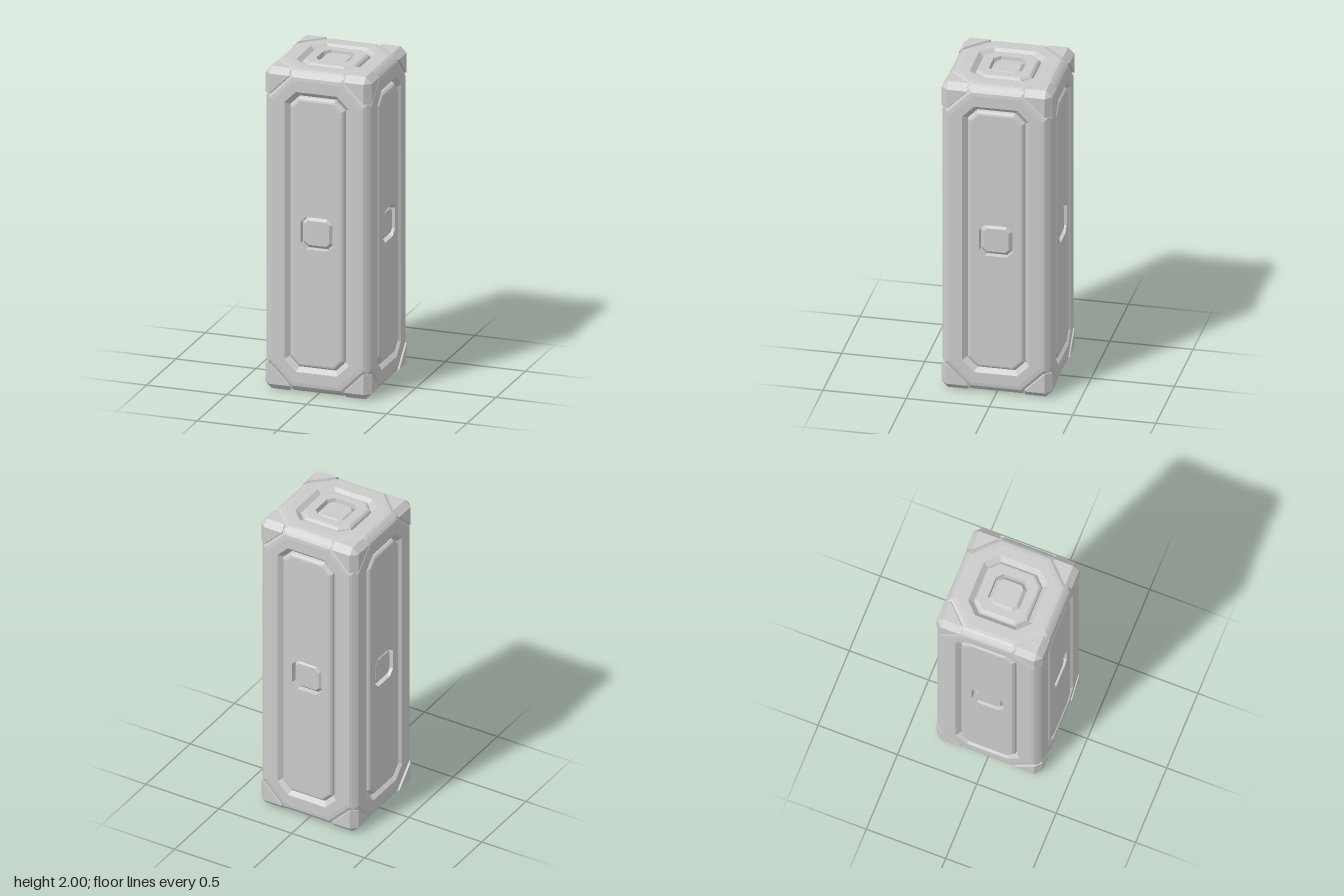
import * as THREE from 'three';
import { ConvexGeometry } from 'three/addons/geometries/ConvexGeometry.js';

const HALF = 0.333; // half width and depth
const TALL = 1; // half height
const material = new THREE.MeshStandardMaterial({ color: 0xcccccc, flatShading: true });

// Octagon: rectangle of half size a x b at depth w with its corners cut by c
function octagon(a, b, c, w) {
  return [
    [a, -b + c], [a, b - c], [a - c, b], [-a + c, b],
    [-a, b - c], [-a, -b + c], [-a + c, -b], [a - c, -b],
  ].map(([u, v]) => [u, v, w]);
}

// Skin consecutive octagons from the outside in
function loft(rings, closed) {
  const pos = [];
  for (let r = 0; r < rings.length - 1; r++) {
    for (let i = 0; i < 8; i++) {
      const j = (i + 1) % 8;
      const [p, q] = [rings[r], rings[r + 1]];
      pos.push(...p[i], ...p[j], ...q[j], ...p[i], ...q[j], ...q[i]);
    }
  }
  const last = rings[rings.length - 1];
  if (closed) for (let i = 1; i < 7; i++) pos.push(...last[0], ...last[i], ...last[i + 1]);
  const geo = new THREE.BufferGeometry();
  geo.setAttribute('position', new THREE.Float32BufferAttribute(pos, 3));
  geo.computeVertexNormals();
  return geo;
}

// One side of the pillar, facing +z: bevelled frame, groove, panel and inset stud
function makeFace(name, b, d) {
  const face = new THREE.Group();
  face.name = name;
  const ring = ([inset, drop, cut]) => octagon(HALF - inset, b - inset, cut, d - drop);
  const add = (part, rings, closed) => {
    const mesh = new THREE.Mesh(loft(rings, closed), material);
    mesh.name = part;
    face.add(mesh);
  };
  const socket = octagon(0.1, 0.1, 0.035, d - 0.002);
  // rows: inset from the edge, drop below the surface, corner cut
  const frame = [
    [0.0215, 0.0215, 0.1435], // middle of the edge bevel
    [0.029, 0.014, 0.146],
    [0.043, 0.004, 0.142],
    [0.063, 0.001, 0.138], // flat of the frame
    [0.132, 0.001, 0.072], // rim of the recess
  ].map(ring);
  const panel = [
    [0.16, 0.03, 0.059], // bottom of the groove
    [0.164, 0.016, 0.057],
    [0.175, 0.005, 0.052],
    [0.185, 0.002, 0.047], // raised panel, level with the frame
  ].map(ring);
  add('frame', [...frame, panel[0]], false);
  add('panel', [...panel, socket], false);
  add('stud', [
    socket,
    octagon(0.096, 0.096, 0.034, d - 0.033), // narrow gap round the stud
    octagon(0.094, 0.094, 0.033, d - 0.032),
    octagon(0.075, 0.075, 0.02, d - 0.012),
  ], true);
  return face;
}

// Corner guard: bevelled cube corner with a triangular flat on each side
function makeGuard(sx, sy, sz) {
  const [lo, mid, hi] = [0.172, 0.295, HALF];
  const pts = [[0.2, 0.2, 0.2]];
  for (let k = 0; k < 3; k++) {
    for (const [p, q] of [[mid, mid], [lo, mid], [mid, lo]]) {
      const v = [];
      v[k] = hi;
      v[(k + 1) % 3] = p;
      v[(k + 2) % 3] = q;
      pts.push(v);
    }
  }
  const mesh = new THREE.Mesh(new ConvexGeometry(pts.map(([x, y, z]) =>
    new THREE.Vector3(sx * x, sy * (y + TALL - HALF), sz * z))), material);
  mesh.name = 'cornerGuard';
  return mesh;
}

export function createModel() {
  const model = new THREE.Group();
  model.name = 'pillar';
  const body = new THREE.Group();
  body.name = 'body';
  body.position.y = TALL;
  model.add(body);

  // four tall sides
  ['frontSide', 'leftSide', 'backSide', 'rightSide'].forEach((name, i) => {
    const side = makeFace(name, TALL, HALF);
    side.rotation.y = (i * Math.PI) / 2;
    body.add(side);
  });

  // square ends
  for (const s of [1, -1]) {
    const end = makeFace(s > 0 ? 'topEnd' : 'bottomEnd', HALF, TALL);
    end.rotation.x = (-s * Math.PI) / 2;
    body.add(end);
  }

  // eight corner guards
  for (const x of [1, -1])
    for (const y of [1, -1])
      for (const z of [1, -1]) body.add(makeGuard(x, y, z));

  return model;
}
